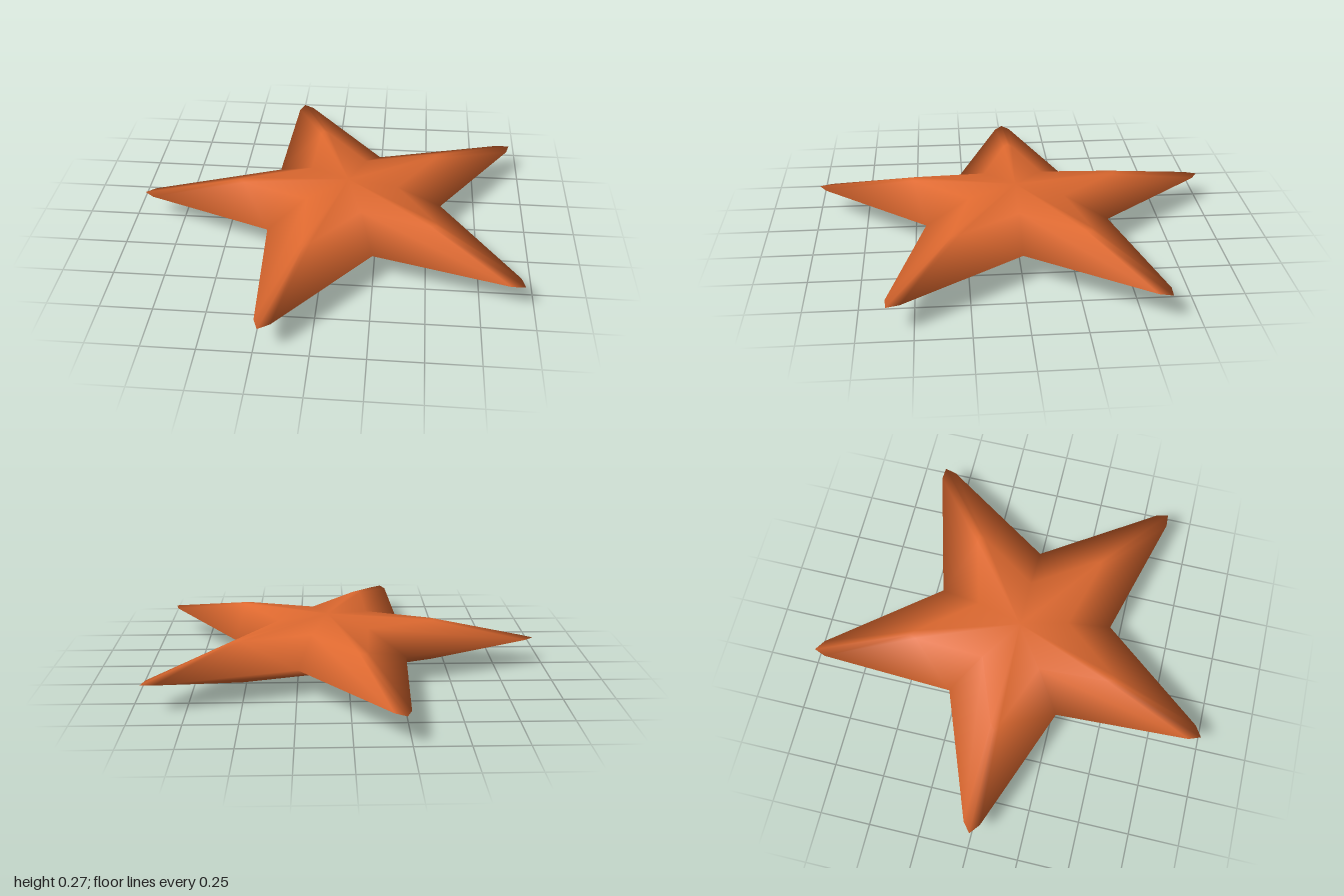
import * as THREE from 'three';

const ARMS = 5;
const MID_Y = 0.1375;    // height of the thin outer rim
const CENTRE_X = 0.1;

// Star outline as [x, z] pairs, anticlockwise from above, with blunt arm tips
function starOutline() {
  const outline = [];
  const add = (along, side, angle) => {
    const c = Math.cos(angle), s = Math.sin(angle);
    outline.push([along * c - side * s, -(along * s + side * c)]);
  };
  for (let i = 0; i < ARMS; i++) {
    const angle = ((2 * i + 1) * Math.PI) / ARMS;
    add(1.0, -0.04, angle);
    add(1.049, 0, angle);
    add(1.0, 0.04, angle);
    add(0.467, 0, angle + Math.PI / ARMS); // notch between arms
  }
  return outline;
}

export function createModel() {
  const group = new THREE.Group();
  group.name = 'starfish';
  const orange = new THREE.MeshStandardMaterial({ color: 0xe06a30 });
  orange.name = 'orange skin';

  const outline = starOutline();
  const n = outline.length;
  const positions = [];
  const indices = [];

  // Star rings from the upper shoulder over the rim to the lower shoulder
  const rings = [[0.524, 0.104], [1, 0], [0.524, -0.104]];
  for (const [scale, h] of rings) {
    for (const [x, z] of outline) positions.push(x * scale, h, z * scale);
  }
  const top = rings.length * n;
  const bottom = top + 1;
  positions.push(0, 0.137, 0, 0, -0.137, 0);

  for (let i = 0; i < n; i++) {
    const j = (i + 1) % n;
    // Upper and lower centre
    indices.push(top, i, j, bottom, 2 * n + j, 2 * n + i);
    // Sloping sides
    for (let r = 0; r < 2; r++) {
      const a = r * n, b = a + n;
      indices.push(a + i, b + i, b + j, a + i, b + j, a + j);
    }
  }

  const geometry = new THREE.BufferGeometry();
  geometry.setAttribute('position', new THREE.Float32BufferAttribute(positions, 3));
  geometry.setIndex(indices);
  geometry.computeVertexNormals();

  const body = new THREE.Mesh(geometry, orange);
  body.name = 'starBody';
  body.position.set(CENTRE_X, MID_Y, 0);
  group.add(body);
  return group;
}
